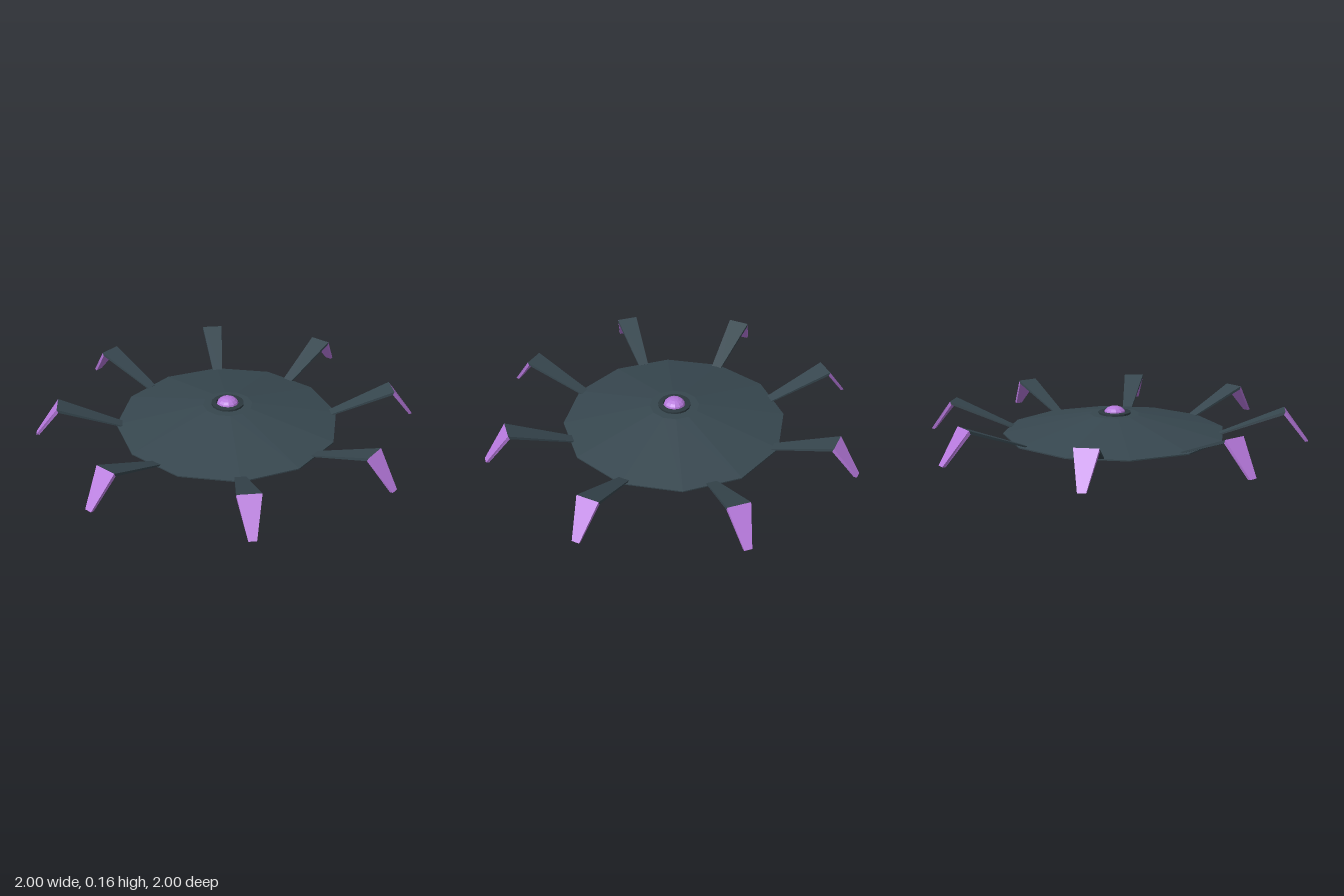
import * as THREE from 'three';

const mat = (name, color, flatShading = true) => {
  const m = new THREE.MeshStandardMaterial({ color, flatShading });
  m.name = name;
  return m;
};

// Four-sided plate lofted between two sections: { top: [r, y], under: [r, y], half: half-width }
function plate(a, b) {
  const corners = ({ top, under, half }) => [
    [...top, half], [...top, -half], [...under, -half], [...under, half],
  ];
  const A = corners(a), B = corners(b), pos = [];
  const quad = (p, q, r, s) => pos.push(...p, ...q, ...r, ...p, ...r, ...s);
  for (let i = 0; i < 4; i++) {
    const j = (i + 1) % 4;
    quad(A[i], B[i], B[j], A[j]);
  }
  quad(...A);
  quad(...B.reverse());
  const g = new THREE.BufferGeometry();
  g.setAttribute('position', new THREE.Float32BufferAttribute(pos, 3));
  g.computeVertexNormals();
  return g;
}

const lathe = (points, sides) =>
  new THREE.LatheGeometry(points.map(([r, y]) => new THREE.Vector2(r, y)), sides);

export function createModel() {
  const model = new THREE.Group();
  model.name = 'spiderDisc';
  const shell = mat('dark slate', 0x37474f);
  const socket = mat('deep slate', 0x2c393f);
  const purple = mat('purple', 0xb678dc);

  const add = (parent, name, geometry, material) => {
    const mesh = new THREE.Mesh(geometry, material);
    mesh.name = name;
    parent.add(mesh);
    return mesh;
  };

  // Shallow twelve-sided shell with a flat underside
  add(model, 'body', lathe([[0, 0.02], [0.585, 0.02], [0.585, 0.026], [0.13, 0.115], [0, 0.115]], 12), shell);

  // Raised collar and domed eye on top
  add(model, 'eyeCollar', lathe([[0.085, 0.108], [0.085, 0.125], [0.06, 0.127], [0.058, 0.118]], 16), socket);
  const eye = add(model, 'eye',
    new THREE.SphereGeometry(0.057, 12, 4, 0, Math.PI * 2, 0, Math.PI / 2), purple);
  eye.scale.y = 0.65;
  eye.position.y = 0.118;

  // Eight bent legs: a plate rising to the knee, then a claw down to the ground
  const hip = { top: [0.55, 0.03], under: [0.55, 0.022], half: 0.027 };
  const knee = { top: [0.877, 0.164], under: [0.87, 0.146], half: 0.057 };
  const foot = { top: [1.0, 0.004], under: [0.985, 0], half: 0.019 };
  const upperGeometry = plate(hip, knee);
  const clawGeometry = plate(knee, foot);
  for (let i = 0; i < 8; i++) {
    const leg = new THREE.Group();
    leg.name = `leg${i + 1}`;
    leg.rotation.y = (i * Math.PI) / 4;
    add(leg, 'upperLeg', upperGeometry, shell);
    add(leg, 'claw', clawGeometry, purple);
    model.add(leg);
  }
  return model;
}
